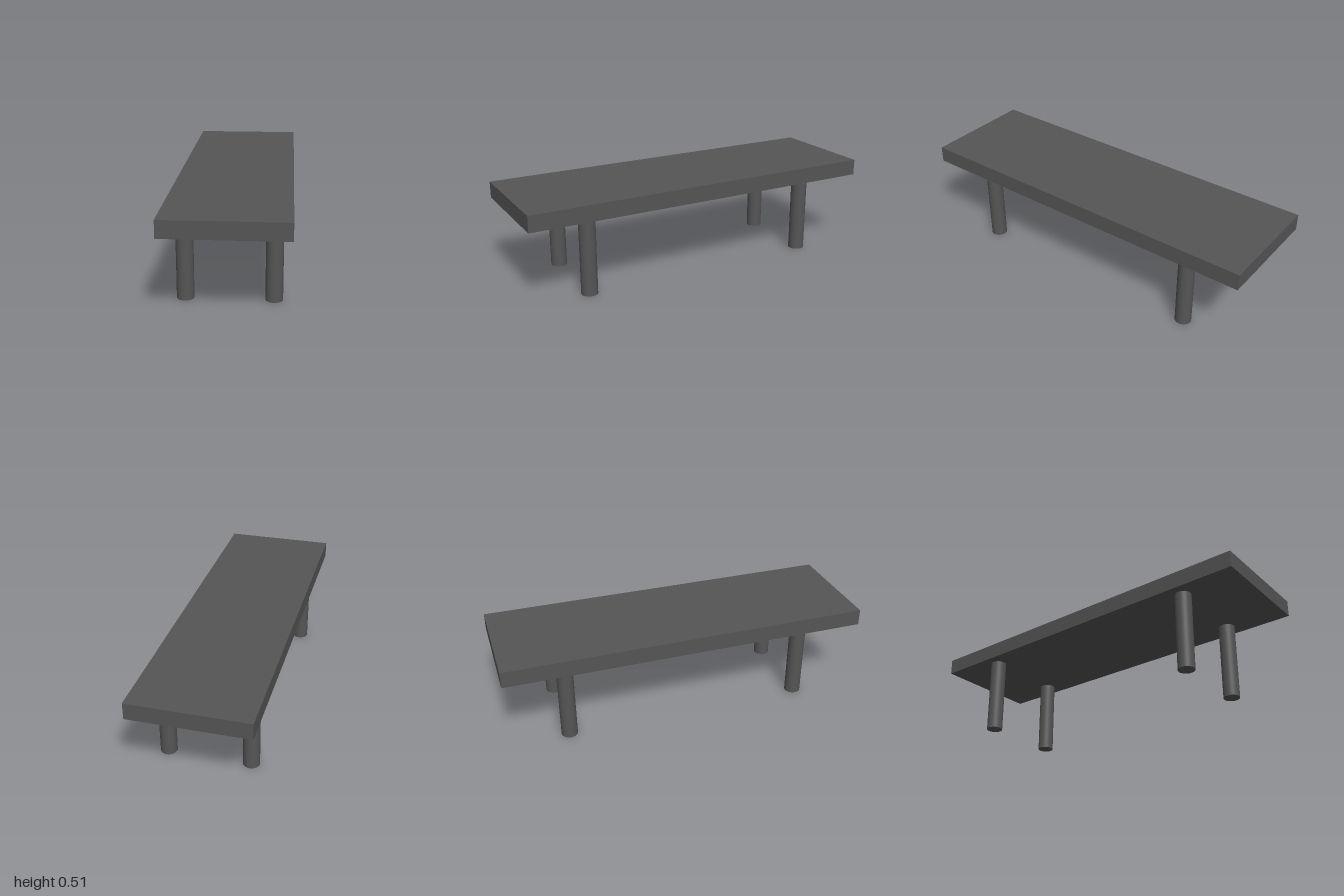
import * as THREE from 'three';

const TOP = 0.513, UNDERSIDE = 0.424;

export function createModel() {
  const group = new THREE.Group();
  group.name = 'bench';
  const material = new THREE.MeshStandardMaterial({ color: 0x555555 });

  // Flat rectangular slab
  const slab = new THREE.Mesh(new THREE.BoxGeometry(0.622, TOP - UNDERSIDE, 2), material);
  slab.name = 'benchTop';
  slab.position.y = (TOP + UNDERSIDE) / 2;
  group.add(slab);

  // Four round legs, mirrored in x and z
  const legGeometry = new THREE.CylinderGeometry(0.0442, 0.0442, UNDERSIDE, 48);
  for (const [zName, z] of [['front', 0.667], ['back', -0.667]]) {
    for (const [xName, x] of [['Left', 0.2225], ['Right', -0.2225]]) {
      const leg = new THREE.Mesh(legGeometry, material);
      leg.name = `${zName}${xName}Leg`;
      leg.position.set(x, UNDERSIDE / 2, z);
      group.add(leg);
    }
  }
  return group;
}
